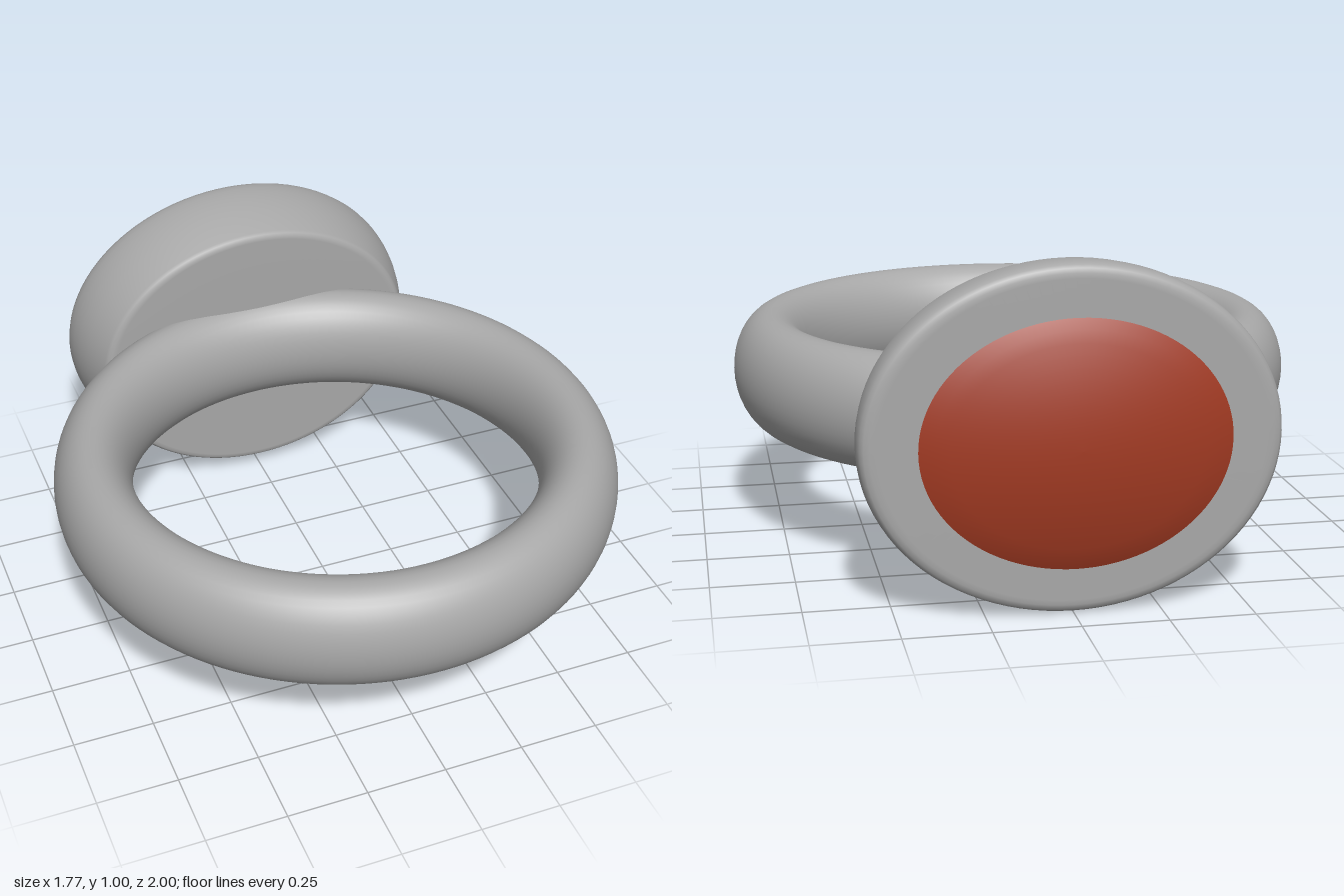
import * as THREE from 'three';

// Oval solid turned around the z axis; profile is [radius, distance towards the back]
function ovalLathe(points, yScale, material, name) {
  const geometry = new THREE.LatheGeometry(points.map(([r, d]) => new THREE.Vector2(r, d)), 96);
  geometry.rotateX(-Math.PI / 2);
  geometry.scale(1, yScale, 1);
  const mesh = new THREE.Mesh(geometry, material);
  mesh.name = name;
  mesh.position.y = 0.5;
  return mesh;
}

export function createModel() {
  const model = new THREE.Group();
  model.name = 'signetRing';

  const metal = new THREE.MeshStandardMaterial({ color: 0xa8a8a8 });
  metal.name = 'grey metal';
  const red = new THREE.MeshStandardMaterial({ color: 0xa23a22 });
  red.name = 'red stone';

  // Band with an oval cross-section, taller than it is thick
  const bandGeometry = new THREE.TorusGeometry(0.7625, 0.1225, 40, 128);
  bandGeometry.scale(1, 1, 0.178 / 0.1225);
  bandGeometry.rotateX(Math.PI / 2);
  const band = new THREE.Mesh(bandGeometry, metal);
  band.name = 'band';
  band.position.set(0, 0.502, 0.115);
  model.add(band);

  // Oval head: flat faces, flared side and softly rounded rim
  model.add(ovalLathe([
    [0, 0.608], [0.3, 0.608], [0.515, 0.608], [0.53, 0.609], [0.539, 0.615], [0.545, 0.626],
    [0.562, 0.67], [0.579, 0.72], [0.592, 0.77], [0.599, 0.815], [0.601, 0.85],
    [0.599, 0.875], [0.594, 0.891], [0.584, 0.901], [0.568, 0.905], [0.55, 0.906],
    [0.3, 0.906], [0, 0.906],
  ], 0.83, metal, 'head'));

  // Domed stone with a bevelled underside; split at the girdle for a sharp edge
  const dome = [[0.44, 0.934]];
  for (let i = 0; i <= 10; i++) {
    const r = 0.4 * (1 - i / 10);
    dome.push([r, 1 - 0.32 * r * r]);
  }
  model.add(ovalLathe(dome, 0.807, red, 'stoneDome'));
  model.add(ovalLathe([[0.385, 0.9], [0.405, 0.912], [0.44, 0.934]], 0.807, red, 'stoneBevel'));

  return model;
}
